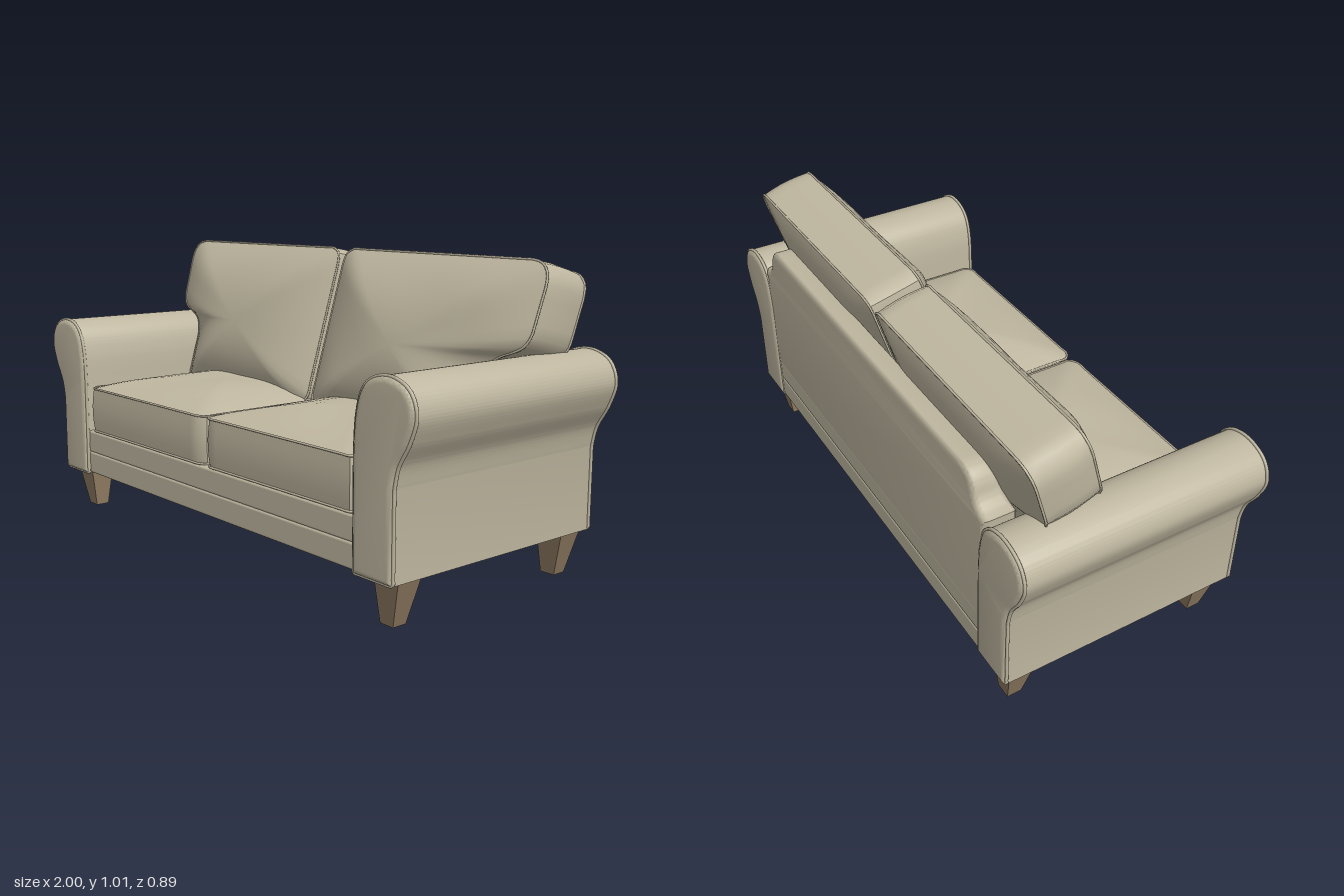
import * as THREE from 'three';
import { toCreasedNormals } from 'three/addons/utils/BufferGeometryUtils.js';
import { RoundedBoxGeometry } from 'three/addons/geometries/RoundedBoxGeometry.js';

const fabric = new THREE.MeshStandardMaterial({ color: 0xbfb7a0 });
const wood = new THREE.MeshStandardMaterial({ color: 0x8f7a62 });

function add(group, name, geometry, material = fabric) {
  const mesh = new THREE.Mesh(geometry, material);
  mesh.name = name;
  group.add(mesh);
  return mesh;
}

// Closed shape with rounded corners; each corner is [x, y, radius]
function roundedShape(corners) {
  const shape = new THREE.Shape();
  const n = corners.length;
  corners.forEach(([x, y, r], i) => {
    const p = new THREE.Vector2(x, y);
    const toward = (c) => new THREE.Vector2(c[0], c[1]).sub(p).setLength(r).add(p);
    const a = toward(corners[(i + n - 1) % n]);
    const b = toward(corners[(i + 1) % n]);
    if (i) shape.lineTo(a.x, a.y); else shape.moveTo(a.x, a.y);
    shape.quadraticCurveTo(x, y, b.x, b.y);
  });
  shape.closePath();
  return shape;
}

// Thin cord following a closed loop of points
function piping(points, radius = 0.005) {
  const curve = new THREE.CatmullRomCurve3(points, true, 'centripetal');
  return new THREE.TubeGeometry(curve, 160, radius, 6, true);
}

// Stuffed cushion: rings run from the face centre, around the border, to the back centre.
// place(u, v, bulge, t) puts an outline point in space; t is 0 at the face, 1 at the back.
function cushion(group, name, shape, centre, side, place) {
  const outline = shape.getSpacedPoints(72).slice(0, -1);
  if (side < 0) outline.reverse();
  const face = [0, 0.15, 0.3, 0.45, 0.6, 0.72, 0.82, 0.9, 0.96, 1];
  const rings = face.map((s) => [s, 0]);
  for (const t of [0.2, 0.4, 0.6, 0.8]) rings.push([1 + 0.015 * Math.sin(Math.PI * t), t]);
  rings.push(...face.slice().reverse().map((s) => [s, 1]));
  const at = (p, s, t) => {
    const u = centre[0] + (p.x - centre[0]) * s;
    const v = centre[1] + (p.y - centre[1]) * s;
    const q = place(u, v, Math.max(0, 1 - Math.pow(s, 2.5)), t);
    q.x *= side;
    return q;
  };
  const positions = [], index = [], n = outline.length;
  rings.forEach(([s, t], i) => outline.forEach((p, j) => {
    positions.push(...at(p, s, t).toArray());
    if (i === rings.length - 1) return;
    const a = i * n + j, d = i * n + (j + 1) % n;
    index.push(a, a + n, d + n, a, d + n, d);
  }));
  const geometry = new THREE.BufferGeometry();
  geometry.setAttribute('position', new THREE.Float32BufferAttribute(positions, 3));
  geometry.setIndex(index);
  add(group, name, toCreasedNormals(geometry, 0.7));
  for (const t of [0, 1]) add(group, name + 'Piping', piping(outline.map((p) => at(p, 1, t)), 0.004));
}

// Rolled arm profile, flaring outward at the top
function armShape(side) {
  const roll = [[0.914, 0.42], [0.93, 0.485], [0.97, 0.555], [0.994, 0.63], [0.968, 0.695],
    [0.9, 0.725], [0.83, 0.715], [0.785, 0.675], [0.763, 0.6], [0.756, 0.5]];
  const shape = new THREE.Shape();
  shape.moveTo(side * 0.756, 0.148);
  shape.lineTo(side * 0.914, 0.148);
  shape.lineTo(side * 0.914, 0.42);
  shape.splineThru(roll.slice(1).map(([x, y]) => new THREE.Vector2(side * x, y)));
  shape.closePath();
  return shape;
}

function buildArm(side) {
  const arm = new THREE.Group();
  arm.name = side > 0 ? 'leftArm' : 'rightArm';
  const shape = armShape(side);
  const body = new THREE.ExtrudeGeometry(shape, {
    depth: 0.856, curveSegments: 40, bevelThickness: 0.015, bevelSize: 0.02, bevelOffset: -0.02, bevelSegments: 4,
  }).translate(0, 0, -0.43);
  add(arm, 'armBody', toCreasedNormals(body, 0.6));
  const outline = shape.getSpacedPoints(90).slice(0, -1);
  for (const z of [0.427, -0.432]) {
    add(arm, 'armPiping', piping(outline.map((p) => new THREE.Vector3(p.x, p.y, z)), 0.006));
  }
  return arm;
}

// Tapered square leg, wider at the top; the inner face stays nearly upright
function buildLeg(side, zTop) {
  const leg = new THREE.BoxGeometry(1, 1, 1);
  const p = leg.attributes.position;
  for (let i = 0; i < p.count; i++) {
    const top = p.getY(i) > 0;
    const x = p.getX(i) < 0 ? (top ? 0.797 : 0.805) : (top ? 0.9 : 0.858);
    const z = zTop + Math.sign(p.getZ(i)) * (top ? 0.047 : 0.025);
    p.setXYZ(i, x, top ? 0.155 : 0, z);
  }
  if (side < 0) leg.rotateY(Math.PI).translate(0, 0, 2 * zTop);
  leg.computeVertexNormals();
  return leg;
}

export function createModel() {
  const sofa = new THREE.Group();
  sofa.name = 'sofa';

  // Base rails, two stacked bands with a seam between
  for (const [name, y, h] of [['lowerRail', 0.189, 0.082], ['upperRail', 0.27, 0.082]]) {
    add(sofa, name, new RoundedBoxGeometry(1.54, h, 0.855, 3, 0.008)).position.set(0, y, -0.008);
  }

  // Back frame, dipping to meet the arms and thinning toward the top
  const backShape = new THREE.Shape();
  backShape.moveTo(-0.77, 0.29);
  backShape.lineTo(0.77, 0.29);
  backShape.lineTo(0.79, 0.71);
  backShape.quadraticCurveTo(0.735, 0.72, 0.725, 0.77);
  backShape.quadraticCurveTo(0.71, 0.835, 0.64, 0.835);
  backShape.lineTo(-0.64, 0.835);
  backShape.quadraticCurveTo(-0.71, 0.835, -0.725, 0.77);
  backShape.quadraticCurveTo(-0.735, 0.72, -0.79, 0.71);
  backShape.closePath();
  const back = new THREE.ExtrudeGeometry(backShape, {
    depth: 0.09, curveSegments: 16, bevelThickness: 0.025, bevelSize: 0.025, bevelOffset: -0.025, bevelSegments: 5,
  }).translate(0, 0, -0.412);
  const bp = back.attributes.position;
  for (let i = 0; i < bp.count; i++) {
    const front = (bp.getZ(i) + 0.437) / 0.14;
    bp.setZ(i, bp.getZ(i) - Math.max(0, bp.getY(i) - 0.6) * 0.28 * front);
  }
  add(sofa, 'backFrame', toCreasedNormals(back, 0.7));

  // T-shaped back cushion whose ear rests over the arm
  const backCushion = roundedShape([
    [0.012, 0.47, 0.03], [0.748, 0.47, 0.03], [0.752, 0.7, 0.07], [0.905, 0.755, 0.05],
    [0.922, 1.008, 0.08], [0.014, 1.01, 0.05],
  ]);
  // Seat cushion, drawn flat
  const seatCushion = roundedShape([
    [0.008, -0.414, 0.02], [0.742, -0.414, 0.02], [0.742, 0.32, 0.02], [0.008, 0.32, 0.02],
  ]);

  for (const side of [1, -1]) {
    sofa.add(buildArm(side));
    const label = side > 0 ? 'left' : 'right';
    cushion(sofa, label + 'SeatCushion', seatCushion, [0.375, -0.05], side, (u, v, b, t) =>
      new THREE.Vector3(u, t === 0
        ? 0.477 + b * (0.055 + 0.003 * Math.sin(14 * u + 9 * v))
        : 0.477 - 0.162 * t, -v));
    cushion(sofa, label + 'BackCushion', backCushion, [0.42, 0.73], side, (u, v, b, t) => {
      const soft = 0.003 * Math.sin(11 * u + 13 * v);
      const puff = t === 0 ? (0.093 + soft) * b : t === 1 ? -0.045 * b : 0;
      return new THREE.Vector3(u, v - 0.045 * t, -0.11 - 0.305 * (v - 0.72) - 0.18 * t + puff);
    });
    add(sofa, label + 'FrontLeg', buildLeg(side, 0.345), wood);
    add(sofa, label + 'BackLeg', buildLeg(side, -0.365), wood);
  }
  return sofa;
}
